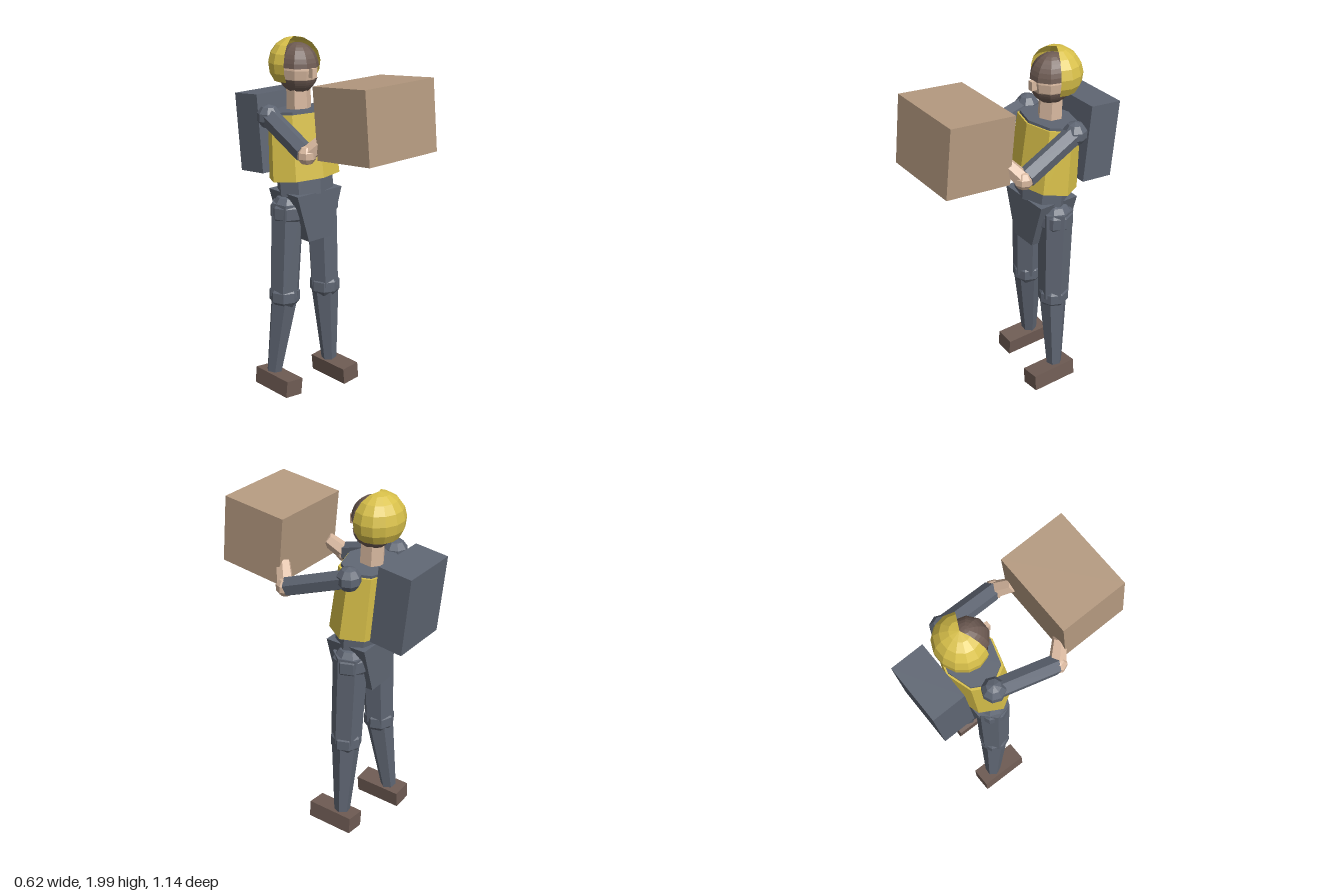
import * as THREE from 'three';

const paint = (color) => new THREE.MeshStandardMaterial({ color, flatShading: true, side: THREE.DoubleSide });
const cloth = paint(0x5f6673), yellow = paint(0xd8c04a), brown = paint(0x6f5c54);
const skin = paint(0xd9b9a0), card = paint(0xb59a80);

export function createModel() {
  const model = new THREE.Group();

  const add = (name, geo, mat, pos = [0, 0, 0], rot = [0, 0, 0], parent = model) => {
    const mesh = new THREE.Mesh(geo, mat);
    mesh.name = name;
    mesh.position.set(...pos);
    mesh.rotation.set(...rot);
    parent.add(mesh);
    return mesh;
  };
  const box = (name, size, mat, pos, rot) => add(name, new THREE.BoxGeometry(...size), mat, pos, rot);
  const ball = (name, r, mat, pos) => add(name, new THREE.SphereGeometry(r, 8, 5), mat, pos);

  // tapered six-sided limb from a to b
  const limb = (name, a, b, ra, rb, mat) => {
    const va = new THREE.Vector3(...a), vb = new THREE.Vector3(...b);
    const dir = vb.clone().sub(va);
    const mesh = add(name, new THREE.CylinderGeometry(rb, ra, dir.length(), 6), mat);
    mesh.position.copy(va).add(vb).multiplyScalar(0.5);
    mesh.quaternion.setFromUnitVectors(new THREE.Vector3(0, 1, 0), dir.normalize());
  };

  // octagonal tapered shell, oval in plan
  const oval = (top, bottom, h, flat, y) =>
    new THREE.CylinderGeometry(top, bottom, h, 8).scale(1, 1, flat).translate(0, y + h / 2, 0);

  // trunk, leaning slightly back
  const trunk = new THREE.Group();
  trunk.name = 'trunk';
  trunk.position.set(0, 1.16, -0.175);
  trunk.rotation.x = -0.1;
  model.add(trunk);
  add('shirt', oval(0.185, 0.175, 0.46, 0.72, 0), cloth, [0, 0, 0], [0, 0, 0], trunk);
  add('vest', oval(0.2, 0.222, 0.355, 0.715, 0.09), yellow, [0, 0, 0], [0, 0, 0], trunk);

  // pelvis narrowing to the crotch
  const pelvis = new THREE.BoxGeometry(0.32, 0.27, 0.24);
  const p = pelvis.attributes.position;
  for (let i = 0; i < p.count; i++) if (p.getY(i) < 0) p.setX(i, p.getX(i) * 0.5);
  add('pelvis', pelvis, cloth, [0, 1.045, -0.178]);

  // cargo
  box('backpack', [0.335, 0.435, 0.19], cloth, [-0.004, 1.465, -0.45], [-0.1, 0, 0]);
  box('carriedBox', [0.476, 0.375, 0.376], card, [-0.005, 1.655, 0.365], [-0.1, 0, 0]);

  // legs, the left one a short step ahead
  const legs = [
    { side: 'left', s: 1, knee: [0.135, 0.58, -0.17], ankle: [0.165, 0.09, -0.165], foot: [0.172, 0.06, -0.123] },
    { side: 'right', s: -1, knee: [-0.145, 0.58, -0.195], ankle: [-0.19, 0.09, -0.245], foot: [-0.193, 0.06, -0.2] },
  ];
  for (const { side, s, knee, ankle, foot } of legs) {
    const hip = [s * 0.122, 1.07, -0.185];
    ball(side + 'Hip', 0.1, cloth, hip);
    limb(side + 'Thigh', [hip[0], 1.12, hip[2]], knee, 0.095, 0.085, cloth);
    ball(side + 'Knee', 0.09, cloth, knee);
    limb(side + 'Shin', knee, ankle, 0.08, 0.043, cloth);
    box(side + 'Foot', [0.112, 0.095, 0.275], brown, foot, [0, 0, s * 0.1]);
  }

  // arms reaching forward to hold the box
  for (const s of [1, -1]) {
    const side = s > 0 ? 'left' : 'right';
    const shoulder = [s * 0.207, 1.6, -0.232], wrist = [s * 0.258, 1.47, 0.13];
    ball(side + 'Shoulder', 0.066, cloth, shoulder);
    limb(side + 'Arm', shoulder, [s * 0.257, 1.475, 0.115], 0.054, 0.054, cloth);
    ball(side + 'Wrist', 0.053, skin, wrist);
    limb(side + 'Hand', wrist, [s * 0.185, 1.56, 0.2], 0.046, 0.038, skin);
  }

  // neck and head
  limb('neck', [0, 1.58, -0.225], [0, 1.76, -0.232], 0.068, 0.066, skin);
  const headPart = (name, mat, r, from, to) => {
    const geo = new THREE.SphereGeometry(r, 10, 8, 0, Math.PI * 2, from * Math.PI, (to - from) * Math.PI);
    add(name, geo.scale(0.88, 1.12, 0.97), mat, [0, 1.833, -0.232]);
  };
  headPart('face', skin, 0.116, 0, 1);
  headPart('hair', brown, 0.124, 0, 0.47);
  headPart('beard', brown, 0.123, 0.62, 0.92);
  box('nose', [0.03, 0.05, 0.04], skin, [0, 1.822, -0.118]);

  // helmet, open over the face
  const helmet = new THREE.SphereGeometry(0.148, 9, 6, Math.PI - 0.5, Math.PI + 1, 0, Math.PI * 0.72);
  add('helmet', helmet.scale(1, 0.96, 0.92), yellow, [0, 1.858, -0.262]);

  return model;
}
